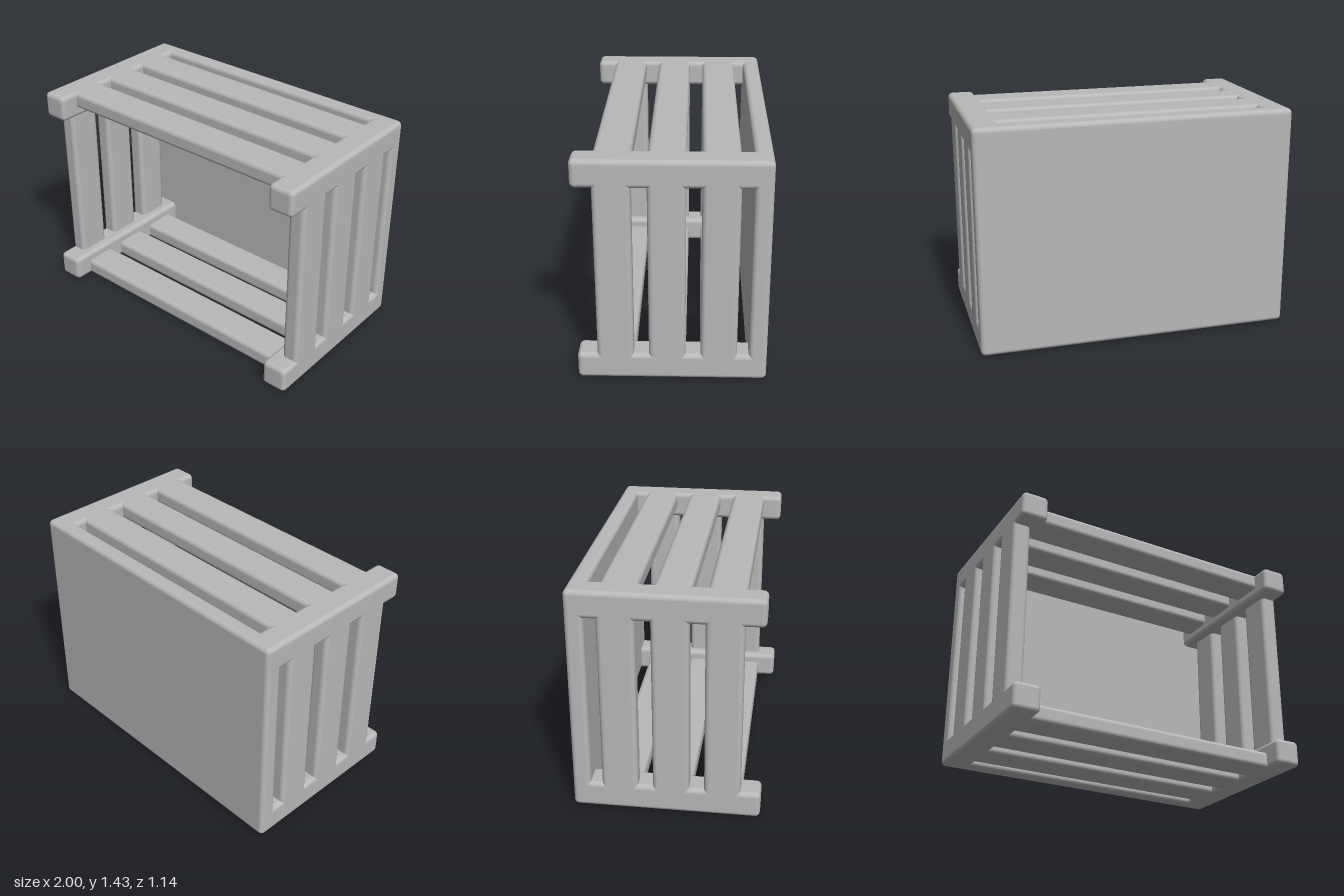
import * as THREE from 'three';
import { RoundedBoxGeometry } from 'three/addons/geometries/RoundedBoxGeometry.js';

const W = 2, H = 1.43, D = 1.14;      // overall size
const RAIL = 0.17, SLAT = 0.11;       // rail section, slat thickness
const SLAT_WIDTH = 0.22, R = 0.03;    // slat width, edge rounding
const EMBED = 0.07;                   // how far slats run into the rails
const SLAT_Z = [0.34, 0.03, -0.28];

export function createModel() {
  const group = new THREE.Group();
  group.name = 'slattedCrate';
  const grey = new THREE.MeshStandardMaterial({ color: 0xb8b8b8 });
  grey.name = 'light grey';

  const addBoard = (name, w, h, d, x, y, z) => {
    const mesh = new THREE.Mesh(new RoundedBoxGeometry(w, h, d, 4, R), grey);
    mesh.name = name;
    mesh.position.set(x, y, z);
    group.add(mesh);
  };

  // Solid back panel
  addBoard('backPanel', W, H, SLAT, 0, H / 2, -D / 2 + SLAT / 2);

  // Four corner rails, front to back, their rear ends sunk into the panel
  const railLength = D - R;
  for (const side of [-1, 1]) {
    for (const y of [RAIL / 2, H - RAIL / 2]) {
      addBoard('cornerRail', RAIL, RAIL, railLength, side * (W - RAIL) / 2, y, R / 2);
    }
  }

  // Slats flush with the outer faces of the rails
  const acrossLength = W - 2 * (RAIL - EMBED);
  const uprightLength = H - 2 * (RAIL - EMBED);
  for (const z of SLAT_Z) {
    addBoard('bottomSlat', acrossLength, SLAT, SLAT_WIDTH, 0, SLAT / 2, z);
    addBoard('topSlat', acrossLength, SLAT, SLAT_WIDTH, 0, H - SLAT / 2, z);
    addBoard('leftSlat', SLAT, uprightLength, SLAT_WIDTH, (W - SLAT) / 2, H / 2, z);
    addBoard('rightSlat', SLAT, uprightLength, SLAT_WIDTH, -(W - SLAT) / 2, H / 2, z);
  }
  return group;
}
